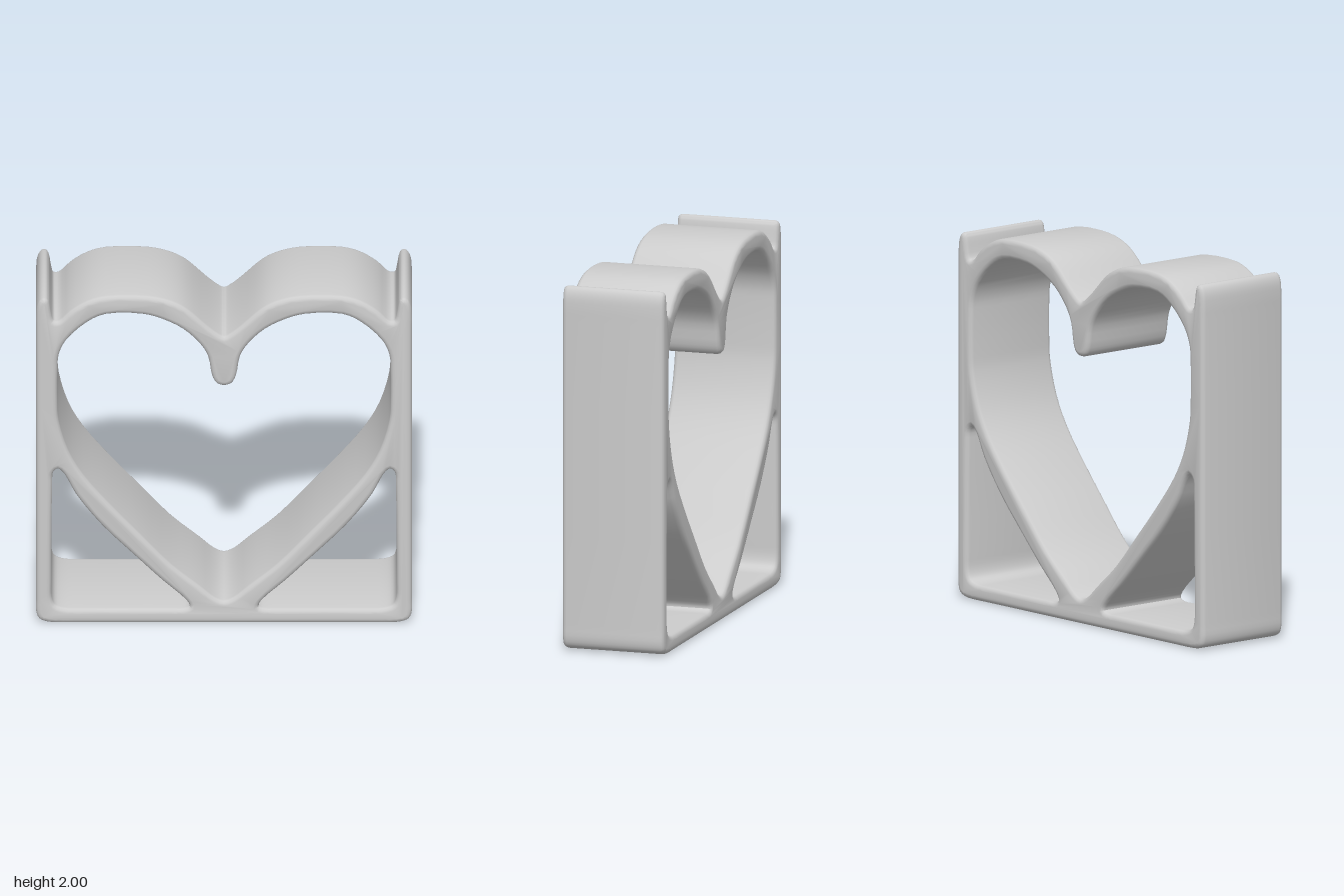
import * as THREE from 'three';
import { toCreasedNormals } from 'three/addons/utils/BufferGeometryUtils.js';

const BEVEL = 0.026;
const DEPTH = 0.57;

// Smooth closed loop through a few points (centripetal, so corners stay tight).
// Points are listed clockwise and returned counter-clockwise, as Shape expects.
function smoothLoop(points, perSegment = 3) {
  const curve = new THREE.CatmullRomCurve3(
    points.map(([x, y]) => new THREE.Vector3(x, y, 0)), true, 'centripetal');
  return curve.getPoints(points.length * perSegment).slice(0, -1)
    .map((p) => new THREE.Vector2(p.x, p.y)).reverse();
}

const mirror = (points) => points.map(([x, y]) => [-x, y]).reverse();

// Full symmetric loop from a half that starts and ends on x = 0
const symmetric = (half) => [...half, ...mirror(half.slice(1, -1))];

export function createModel() {
  const grey = new THREE.MeshStandardMaterial({ color: 0xcccccc });
  grey.name = 'lightGrey';

  // Outer silhouette: twin lobes, corner spurs, straight sides and base
  const outer = symmetric([
    [0, 1.755], [0.03, 1.77], [0.09, 1.82], [0.2, 1.925], [0.28, 1.97], [0.4, 2],
    [0.63, 2], [0.73, 1.97], [0.82, 1.91], [0.88, 1.85], [0.908, 1.85],
    [0.922, 1.9], [0.93, 1.95], [0.94, 1.978], [0.96, 1.987], [0.98, 1.975],
    [0.995, 1.94], [1, 1.88], [1, 1.8], [1, 0.15], [1, 0.07], [0.985, 0.03],
    [0.94, 0.01], [0.88, 0.005], [0.8, 0.005], [0, 0.005],
  ]);

  // Heart opening with the drop-shaped tab hanging into it
  const heart = symmetric([
    [0, 1.455], [0.04, 1.468], [0.063, 1.51], [0.085, 1.63], [0.13, 1.71],
    [0.22, 1.8], [0.33, 1.86], [0.43, 1.89], [0.63, 1.89], [0.73, 1.84],
    [0.84, 1.73], [0.88, 1.64], [0.887, 1.55], [0.887, 1.35], [0.88, 1.24],
    [0.83, 1.06], [0.75, 0.91], [0.6, 0.72], [0.45, 0.55], [0.28, 0.36],
    [0.13, 0.23], [0.05, 0.16], [0, 0.14],
  ]);

  // Lower corner opening between the heart wall and the frame
  const corner = [
    [0.185, 0.105], [0.2, 0.14], [0.33, 0.265], [0.49, 0.43], [0.65, 0.6],
    [0.79, 0.79], [0.85, 0.91], [0.885, 0.945], [0.91, 0.92], [0.915, 0.85],
    [0.92, 0.25], [0.918, 0.16], [0.9, 0.115], [0.85, 0.095], [0.78, 0.092],
    [0.28, 0.092], [0.22, 0.092],
  ];

  const shape = new THREE.Shape(smoothLoop(outer));
  for (const hole of [heart, corner, mirror(corner)]) {
    shape.holes.push(new THREE.Path(smoothLoop(hole).reverse()));
  }

  // Extrude with rounded rims that keep the full outline size
  const geometry = new THREE.ExtrudeGeometry(shape, {
    depth: DEPTH - 2 * BEVEL, bevelEnabled: true, bevelThickness: BEVEL,
    bevelSize: BEVEL, bevelOffset: -BEVEL, bevelSegments: 3,
  });
  geometry.translate(0, 0, -DEPTH / 2 + BEVEL);

  const frame = new THREE.Mesh(toCreasedNormals(geometry, 0.7), grey);
  frame.name = 'heartFrame';

  const model = new THREE.Group();
  model.name = 'heartInFrame';
  model.add(frame);
  return model;
}
